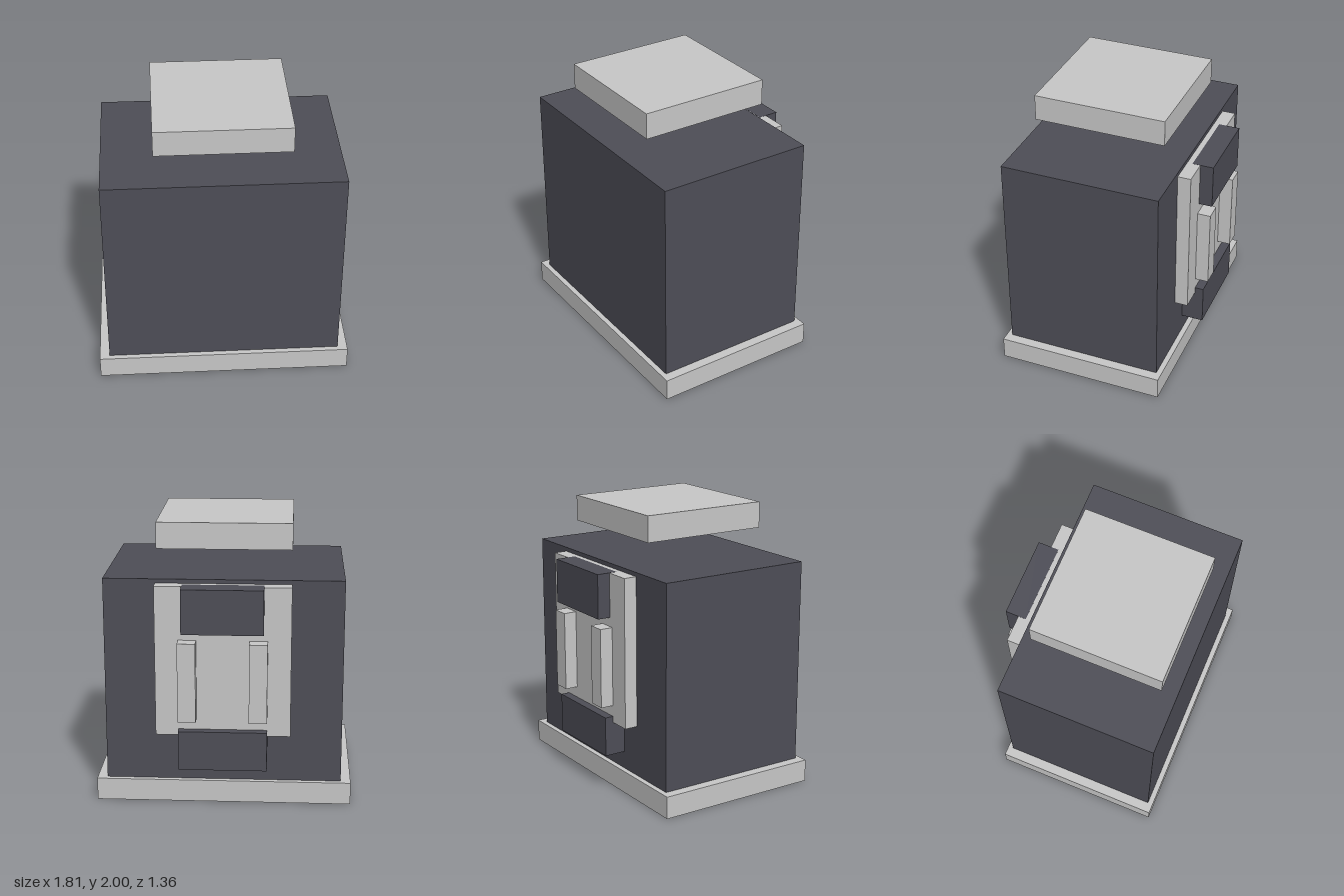
import * as THREE from 'three';

export function createModel() {
  const model = new THREE.Group();
  model.name = 'cabinet';

  const lightGrey = new THREE.MeshStandardMaterial({ color: 0xc8c8c8 });
  lightGrey.name = 'light grey';
  const darkGrey = new THREE.MeshStandardMaterial({ color: 0x4e4e57 });
  darkGrey.name = 'dark grey';

  // Adds a block given by its extents along each axis
  function block(name, material, [x0, x1], [y0, y1], [z0, z1]) {
    const mesh = new THREE.Mesh(new THREE.BoxGeometry(x1 - x0, y1 - y0, z1 - z0), material);
    mesh.position.set((x0 + x1) / 2, (y0 + y1) / 2, (z0 + z1) / 2);
    mesh.name = name;
    model.add(mesh);
  }

  // Plinth, main body and floating top slab
  block('base', lightGrey, [-0.905, 0.905], [0, 0.16], [-0.53, 0.68]);
  block('body', darkGrey, [-0.835, 0.835], [0.16, 1.625], [-0.492, 0.642]);
  block('topSlab', lightGrey, [-0.472, 0.472], [1.815, 2], [-0.396, 0.546]);

  // Rear panel with its two dark blocks
  block('backPanel', lightGrey, [-0.472, 0.472], [0.525, 1.596], [-0.586, -0.492]);
  block('upperBackBlock', darkGrey, [-0.283, 0.283], [1.282, 1.597], [-0.68, -0.53]);
  block('lowerBackBlock', darkGrey, [-0.31, 0.31], [0.287, 0.57], [-0.648, -0.492]);

  // Pair of upright bars on the rear panel
  for (const [side, x] of [['left', 0.247], ['right', -0.247]]) {
    block(side + 'BackBar', lightGrey, [x - 0.063, x + 0.063], [0.65, 1.217], [-0.68, -0.586]);
  }

  return model;
}
